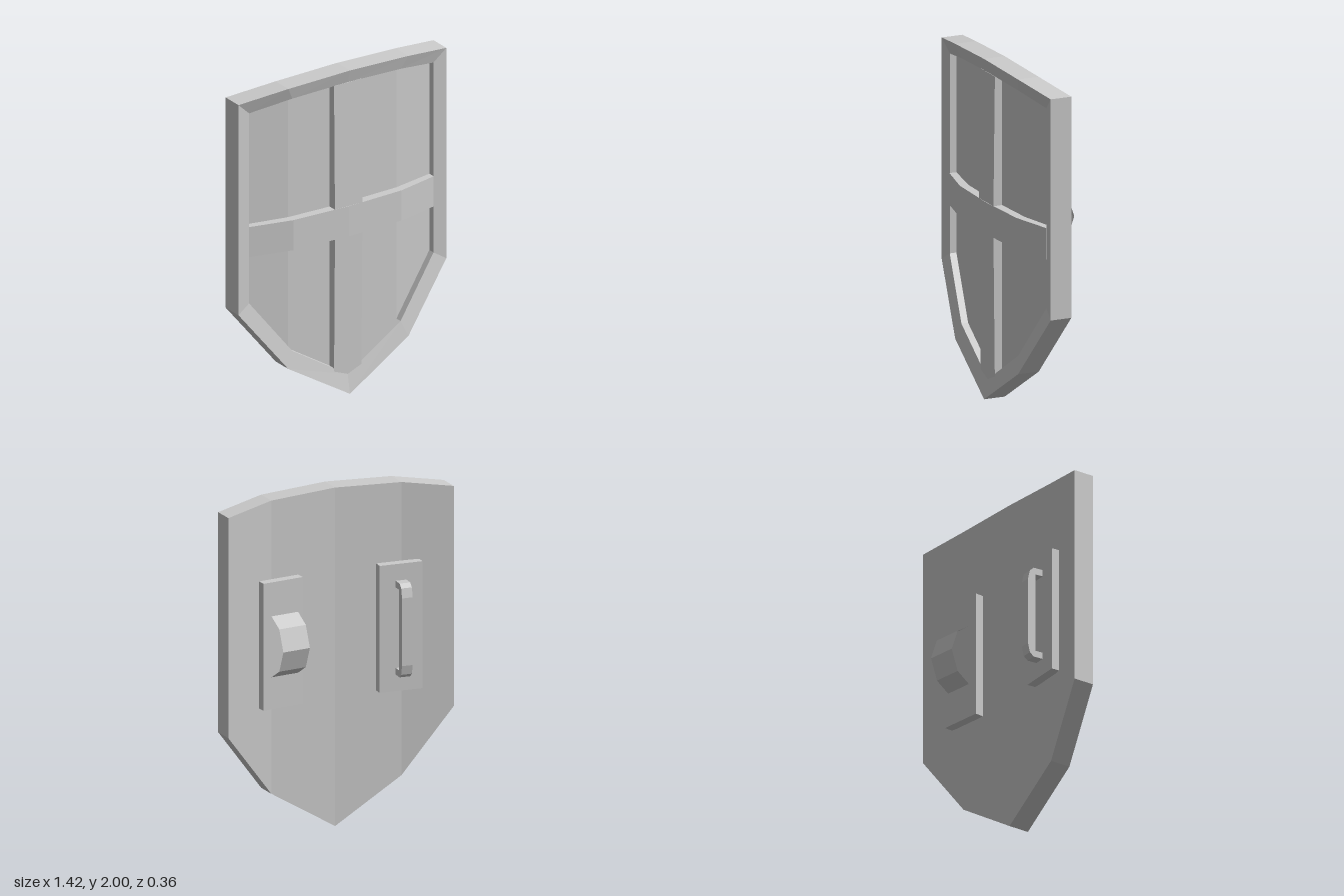
import * as THREE from 'three';

const grey = new THREE.MeshStandardMaterial({ color: 0xcccccc, flatShading: true });
const greyDouble = new THREE.MeshStandardMaterial({ color: 0xcccccc, flatShading: true, side: THREE.DoubleSide });

function part(name, geometry, material = grey) {
  const mesh = new THREE.Mesh(geometry, material);
  mesh.name = name;
  return mesh;
}

// Closed outline, counterclockwise from the bottom tip, from its right half [x, y, z]
function mirrored(half) {
  const left = half.slice(1, -1).reverse().map(([x, y, z]) => [-x, y, z]);
  return [...half, ...left];
}
const shifted = (loop, dz) => loop.map(([x, y, z]) => [x, y, z + dz]);

function triangles(faces) {
  const g = new THREE.BufferGeometry();
  g.setAttribute('position', new THREE.Float32BufferAttribute(faces.flat(2), 3));
  g.computeVertexNormals();
  return g;
}
const quad = (a, b, c, d) => [[a, b, c], [a, c, d]];

// Curved shield: back, side wall, bevelled rim, recess wall and sunken panel
function shieldGeometry() {
  const outer = mirrored([[0, 0, 0.178], [0.41, 0.25, 0.162], [0.71, 0.635, 0.102],
    [0.71, 1.935, 0.102], [0.41, 1.982, 0.162], [0, 2, 0.178]]);
  const inner = mirrored([[0, 0.115, 0.155], [0.37, 0.345, 0.142], [0.63, 0.685, 0.09],
    [0.63, 1.86, 0.09], [0.37, 1.905, 0.142], [0, 1.92, 0.155]]);
  const loops = [shifted(outer, -0.13), outer, inner, shifted(inner, -0.042)];
  const faces = [];
  const n = outer.length;
  for (let k = 0; k < loops.length - 1; k++) {
    for (let i = 0; i < n; i++) {
      const j = (i + 1) % n;
      faces.push(...quad(loops[k][i], loops[k][j], loops[k + 1][j], loops[k + 1][i]));
    }
  }
  // Four flat upright strips close the panel and the back
  for (const s of [[0, 1, 4, 5], [1, 2, 3, 4], [0, 5, 6, 9], [9, 6, 7, 8]]) {
    faces.push(...quad(...s.map(i => loops[3][i])));
    faces.push(...quad(...s.map(i => loops[0][i]).reverse()));
  }
  return triangles(faces);
}

// Extrude a 2D profile by a width, centred on the extrusion axis
function extruded(points, width) {
  const shape = new THREE.Shape(points.map(p => new THREE.Vector2(...p)));
  const g = new THREE.ExtrudeGeometry(shape, { depth: width, bevelEnabled: false });
  return g.translate(0, 0, -width / 2);
}
// Profile given as [z, y], width along x
const sideProfile = (points, width) => extruded(points, width).rotateY(-Math.PI / 2);
// Profile given as [x, z], width along y
const planProfile = (points, width) => extruded(points, width).rotateX(Math.PI / 2);

// Back plate with a frame of its own, its outer face at local z = 0
function mount(name, side) {
  const group = new THREE.Group();
  group.name = name;
  group.position.set(side * 0.362, 1.145, -0.026);
  group.rotation.y = side * 0.085;
  group.add(part('mountingPlate', new THREE.BoxGeometry(0.26, 0.75, 0.055).translate(0, 0, 0.0275)));
  return group;
}

export function createModel() {
  const model = new THREE.Group();
  model.name = 'shield';
  model.add(part('shieldBody', shieldGeometry()));

  // Raised cross on the front
  model.add(part('verticalBar', sideProfile([[0.09, 0.115], [0.155, 0.115], [0.164, 0.97],
    [0.164, 1.16], [0.155, 1.918], [0.09, 1.918]], 0.187)));
  model.add(part('horizontalBar', planProfile([[-0.63, 0.092], [-0.63, 0.04], [-0.37, 0.08], [0, 0.1],
    [0.37, 0.08], [0.63, 0.04], [0.63, 0.092], [0.37, 0.152], [0, 0.168], [-0.37, 0.152]], 0.186)
    .translate(0, 1.064, 0)));

  // Arm strap: thin bent ribbon
  const armMount = mount('armStrapMount', 1);
  const path = [[0.3, -0.015], [0.18, -0.015], [0.125, -0.1], [0, -0.145],
    [-0.125, -0.1], [-0.18, -0.015], [-0.3, -0.015]];
  const ribbon = [];
  for (let i = 0; i < path.length - 1; i++) {
    const [[y0, z0], [y1, z1]] = [path[i], path[i + 1]];
    ribbon.push(...quad([-0.0875, y0, z0], [0.0875, y0, z0], [0.0875, y1, z1], [-0.0875, y1, z1]));
  }
  armMount.add(part('armStrap', triangles(ribbon), greyDouble));
  model.add(armMount);

  // Hand grip: chamfered bracket
  const gripMount = mount('handGripMount', -1);
  gripMount.position.x = -0.379;
  const upperOuter = [[0.01, 0.277], [-0.06, 0.277], [-0.085, 0.255], [-0.098, 0.2]];
  const upperInner = [[-0.047, 0.2], [-0.047, 0.238], [0.01, 0.238]];
  const flip = pts => pts.map(([z, y]) => [z, -y]).reverse();
  gripMount.add(part('handGrip', sideProfile(
    [...upperOuter, ...flip(upperOuter), ...flip(upperInner), ...upperInner], 0.065)));
  model.add(gripMount);

  return model;
}
